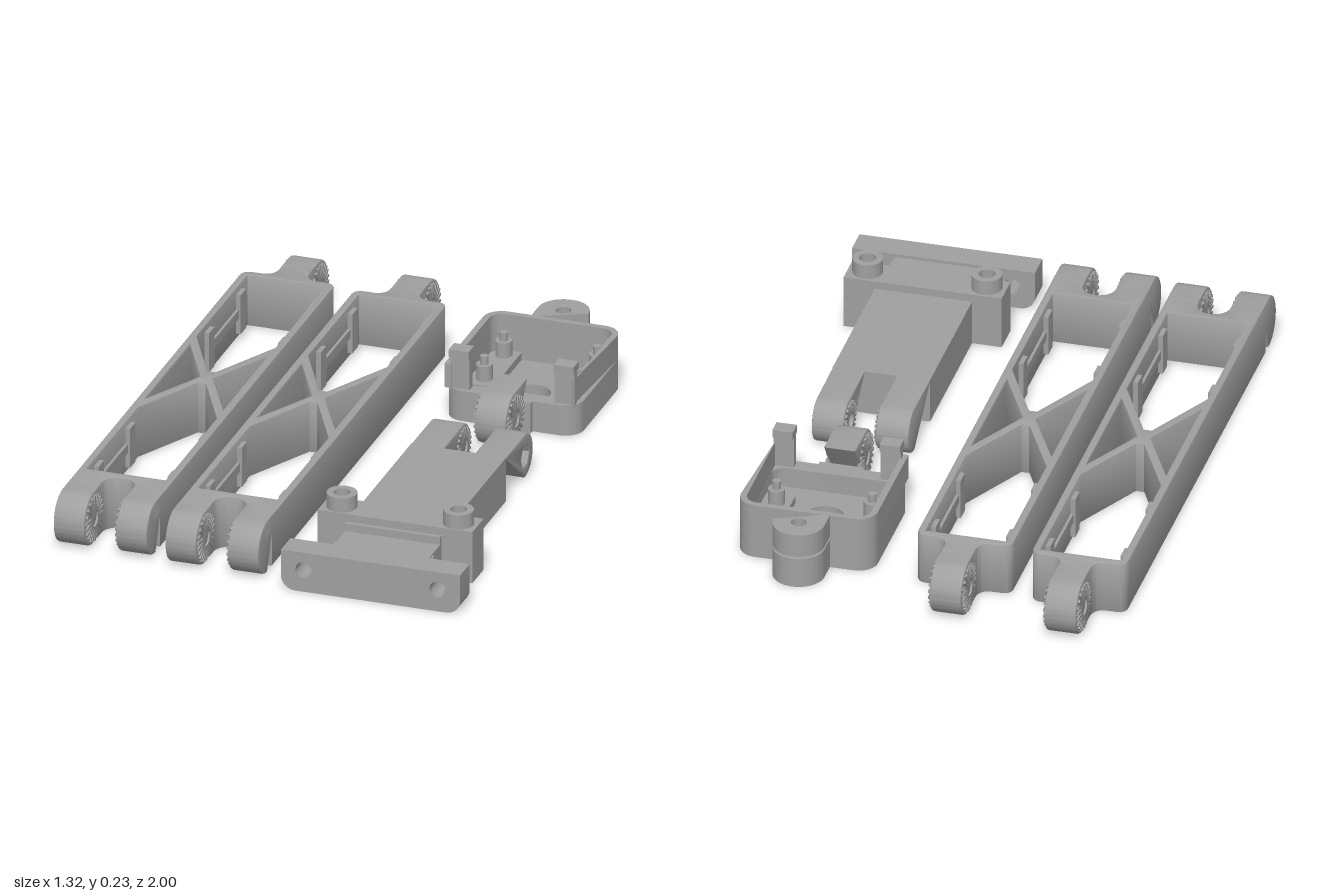
import * as THREE from 'three';
import { mergeGeometries, toCreasedNormals } from 'three/addons/utils/BufferGeometryUtils.js';

const grey = new THREE.MeshStandardMaterial({ color: 0xa0a0a0 });

function add(parent, name, geo, x = 0, y = 0, z = 0) {
  const m = new THREE.Mesh(geo, grey);
  m.name = name;
  m.position.set(x, y, z);
  parent.add(m);
  return m;
}
const box = (p, name, x0, x1, y0, y1, z0, z1) =>
  add(p, name, new THREE.BoxGeometry(x1 - x0, y1 - y0, z1 - z0), (x0 + x1) / 2, (y0 + y1) / 2, (z0 + z1) / 2);

const poly = (pts, C = THREE.Path) => new C(pts.map(([x, z]) => new THREE.Vector2(x, -z)));
const circle = (x, y, r) => new THREE.Path().absarc(x, y, r, 0, Math.PI * 2, true);

// Plan outline (x, -z) raised upward
function raise(shape, y0, y1, bevel = 0) {
  const g = new THREE.ExtrudeGeometry(shape, {
    depth: y1 - y0 - 2 * bevel, curveSegments: 16, bevelEnabled: bevel > 0,
    bevelSize: bevel, bevelThickness: bevel, bevelOffset: -bevel, bevelSegments: 2,
  });
  g.rotateX(-Math.PI / 2).translate(0, y0 + bevel, 0);
  return toCreasedNormals(g, 0.6);
}

// Rounded rectangle in plan
function roundRect(x0, x1, z0, z1, r, C = THREE.Shape) {
  const s = new C(), a = -z1, b = -z0, H = Math.PI / 2;
  s.absarc(x1 - r, a + r, r, -H, 0);
  s.absarc(x1 - r, b - r, r, 0, H);
  s.absarc(x0 + r, b - r, r, H, 2 * H);
  s.absarc(x0 + r, a + r, r, 2 * H, 3 * H);
  s.closePath();
  return s;
}

// Hinge lug: rounded end around a cross bolt, with a straight tail; dir is the z sign of the round end
function lug(parent, name, x0, x1, z, r, tail, dir, hex = false) {
  const s = new THREE.Shape();
  s.moveTo(-tail, -r);
  s.absarc(0, 0, r, -Math.PI / 2, Math.PI / 2);
  s.lineTo(-tail, r);
  s.closePath();
  const hole = new THREE.Path();
  if (hex) {
    hole.setFromPoints([0, 1, 2, 3, 4, 5].map(i =>
      new THREE.Vector2(0.036 * Math.cos(-i * Math.PI / 3), 0.036 * Math.sin(-i * Math.PI / 3))));
    hole.closePath();
  } else hole.absarc(0, 0, 0.02, 0, Math.PI * 2, true);
  s.holes.push(hole);
  const b = 0.006;
  const g = new THREE.ExtrudeGeometry(s, {
    depth: x1 - x0 - 2 * b, curveSegments: 20, bevelSize: b, bevelThickness: b, bevelOffset: -b, bevelSegments: 2,
  });
  g.translate(0, 0, -(x1 - x0) / 2 + b).rotateY(-dir * Math.PI / 2);
  add(parent, name, toCreasedNormals(g, 0.6), (x0 + x1) / 2, r, z);
}

// Ring of radial locking teeth on a lug face
function teeth(parent, x, z, r) {
  const list = [];
  const inner = 0.026, len = r - 0.01 - inner, n = 22;
  for (let i = 0; i < n; i++) {
    const t = new THREE.BoxGeometry(0.012, len, 0.009);
    t.translate(0, inner + len / 2, 0).rotateX(i / n * Math.PI * 2);
    list.push(t);
  }
  add(parent, 'lockingTeeth', mergeGeometries(list), x, r, z);
}

// Lattice link arm with a tongue at the back and a fork at the front
function latticeArm(name, x, z) {
  const arm = new THREE.Group();
  arm.name = name;
  arm.position.set(x, 0, z);
  const s = new THREE.Shape();
  s.moveTo(0.15, -0.84);
  s.lineTo(0.15, 0.75);
  s.quadraticCurveTo(0.15, 0.785, 0.115, 0.785);
  s.lineTo(0.085, 0.785);
  s.quadraticCurveTo(0.05, 0.79, 0.05, 0.83);
  s.lineTo(0.05, 0.87);
  s.lineTo(-0.05, 0.87);
  s.lineTo(-0.05, 0.83);
  s.quadraticCurveTo(-0.05, 0.79, -0.085, 0.785);
  s.lineTo(-0.115, 0.785);
  s.quadraticCurveTo(-0.15, 0.785, -0.15, 0.75);
  s.lineTo(-0.15, -0.84);
  s.lineTo(-0.05, -0.84);
  s.lineTo(-0.05, -0.8);
  s.absarc(0, -0.8, 0.05, Math.PI, 0, true);
  s.lineTo(0.05, -0.84);
  s.closePath();
  // Two end windows and the two side triangles of the cross brace
  const w = 0.125, c = -0.02;
  s.holes.push(poly([[-w, -0.755], [w, -0.755], [w, c - 0.27], [0.012, c - 0.045], [-0.012, c - 0.045], [-w, c - 0.27]]));
  s.holes.push(poly([[-w, 0.72], [w, 0.72], [w, c + 0.27], [0.012, c + 0.045], [-0.012, c + 0.045], [-w, c + 0.27]]));
  for (const k of [-1, 1]) s.holes.push(poly([[k * w, c - 0.205], [k * 0.022, c], [k * w, c + 0.205]]));
  add(arm, 'latticeFrame', raise(s, 0, 0.17, 0.006));

  lug(arm, 'tongue', -0.05, 0.05, -0.915, 0.085, 0.07, -1);
  lug(arm, 'leftForkTine', 0.05, 0.15, 0.88, 0.085, 0.07, 1);
  lug(arm, 'rightForkTine', -0.15, -0.05, 0.88, 0.085, 0.07, 1, true);
  for (const k of [-1, 1]) {
    teeth(arm, k * 0.05, -0.915, 0.085);
    teeth(arm, k * 0.05, 0.88, 0.085);
    // Cable clip ribs inside the long walls
    for (const [a, b] of [[-0.7, -0.65], [-0.41, -0.36], [0.32, 0.37], [0.61, 0.66]]) {
      box(arm, 'clipRib', k * 0.119 - 0.009, k * 0.119 + 0.009, 0.02, 0.15, a, b);
    }
    for (const a of [-0.65, 0.37]) box(arm, 'clipRail', k * 0.122 - 0.006, k * 0.122 + 0.006, 0.07, 0.1, a, a + 0.24);
  }
  return arm;
}

// Mounting clamp with a fork, cross block and end plate
function mount() {
  const g = new THREE.Group();
  g.name = 'mount';
  box(g, 'mountBody', 0.215, 0.52, 0, 0.145, 0.18, 0.79);
  box(g, 'mountNeck', 0.215, 0.52, 0, 0.12, 0.77, 0.92);
  box(g, 'neckFlange', 0.208, 0.527, 0, 0.115, 0.86, 0.92);
  const r = 0.0725;
  lug(g, 'rightTine', 0.215, 0.32, 0.003, r, 0.19, -1);
  lug(g, 'leftTine', 0.42, 0.52, 0.003, r, 0.19, -1, true);
  teeth(g, 0.32, 0.003, r);
  teeth(g, 0.42, 0.003, r);

  // Cross block with a bored boss at each end
  const block = poly([[0.122, 0.775], [0.618, 0.775], [0.618, 0.67], [0.122, 0.67]], THREE.Shape);
  for (const x of [0.183, 0.557]) {
    block.holes.push(circle(x, -0.725, 0.026));
    const boss = new THREE.Shape().absarc(x, -0.725, 0.047, 0, Math.PI * 2);
    boss.holes.push(circle(x, -0.725, 0.026));
    add(g, 'clampBoss', raise(boss, 0.165, 0.217));
  }
  add(g, 'crossBlock', raise(block, 0, 0.17));

  // End plate with rounded lower corners
  const p = new THREE.Shape();
  p.moveTo(0.083, 0.13);
  p.lineTo(0.083, 0.045);
  p.absarc(0.128, 0.045, 0.045, Math.PI, Math.PI * 1.5);
  p.absarc(0.612, 0.045, 0.045, -Math.PI / 2, 0);
  p.lineTo(0.657, 0.13);
  p.closePath();
  for (const x of [0.155, 0.585]) p.holes.push(circle(x, 0.072, 0.026));
  const plate = new THREE.ExtrudeGeometry(p, { depth: 0.088, bevelEnabled: false, curveSegments: 16 });
  add(g, 'endPlate', toCreasedNormals(plate, 0.6), 0, 0, 0.912);
  return g;
}

// Open tray head with a hinge lug in front and a split ear behind
function head() {
  const g = new THREE.Group();
  g.name = 'trayHead';
  const floor = roundRect(0.145, 0.575, -0.745, -0.32, 0.06);
  floor.holes.push(circle(0.36, 0.51, 0.06));
  add(g, 'trayFloor', raise(floor, 0, 0.035));

  const low = roundRect(0.145, 0.575, -0.745, -0.32, 0.06);
  low.holes.push(roundRect(0.165, 0.555, -0.725, -0.37, 0.04, THREE.Path));
  add(g, 'lowerWall', raise(low, 0.03, 0.1));

  // Upper wall is open at the front
  const up = new THREE.Shape();
  up.moveTo(0.575, 0.33);
  up.absarc(0.515, 0.685, 0.06, 0, Math.PI / 2);
  up.absarc(0.205, 0.685, 0.06, Math.PI / 2, Math.PI);
  up.lineTo(0.145, 0.33);
  up.lineTo(0.165, 0.33);
  up.absarc(0.205, 0.685, 0.04, Math.PI, Math.PI / 2, true);
  up.absarc(0.515, 0.685, 0.04, Math.PI / 2, 0, true);
  up.lineTo(0.555, 0.33);
  up.closePath();
  add(g, 'upperWall', raise(up, 0.1, 0.18));

  for (const k of [-1, 1]) {
    // Snap clips at the open front corners
    const x = 0.36 + k * 0.168;
    box(g, 'snapClip', x - 0.032, x + 0.032, 0.09, 0.215, -0.36, -0.335);
    box(g, 'clipHook', x - 0.032, x + 0.032, 0.205, 0.23, -0.375, -0.325);
    box(g, 'innerLedge', 0.36 + k * 0.15 - 0.045, 0.36 + k * 0.15 + 0.045, 0.03, 0.06, -0.725, -0.46);
    for (const z of [-0.69, -0.51]) {
      add(g, 'screwPost', new THREE.CylinderGeometry(0.026, 0.026, 0.06, 20), 0.36 + k * 0.15, 0.08, z);
      add(g, 'screwPin', new THREE.CylinderGeometry(0.013, 0.013, 0.03, 16), 0.36 + k * 0.15, 0.122, z);
    }
    teeth(g, 0.36 + k * 0.05, -0.215, 0.085);
  }
  lug(g, 'headTongue', 0.31, 0.41, -0.215, 0.085, 0.12, 1);
  box(g, 'frontStep', 0.29, 0.43, 0, 0.1, -0.34, -0.305);

  // Rear ear, split into two leaves
  for (const [a, b] of [[0, 0.097], [0.105, 0.18]]) {
    const ear = new THREE.Shape();
    ear.moveTo(0.44, 0.735);
    ear.absarc(0.36, 0.808, 0.08, 0, Math.PI);
    ear.lineTo(0.28, 0.735);
    ear.closePath();
    ear.holes.push(circle(0.36, 0.808, 0.024));
    add(g, 'rearEar', raise(ear, a, b));
  }
  return g;
}

export function createModel() {
  const model = new THREE.Group();
  model.name = 'jointedArmKit';
  model.add(latticeArm('outerArm', -0.51, 0), latticeArm('innerArm', -0.145, 0.02), mount(), head());
  return model;
}
